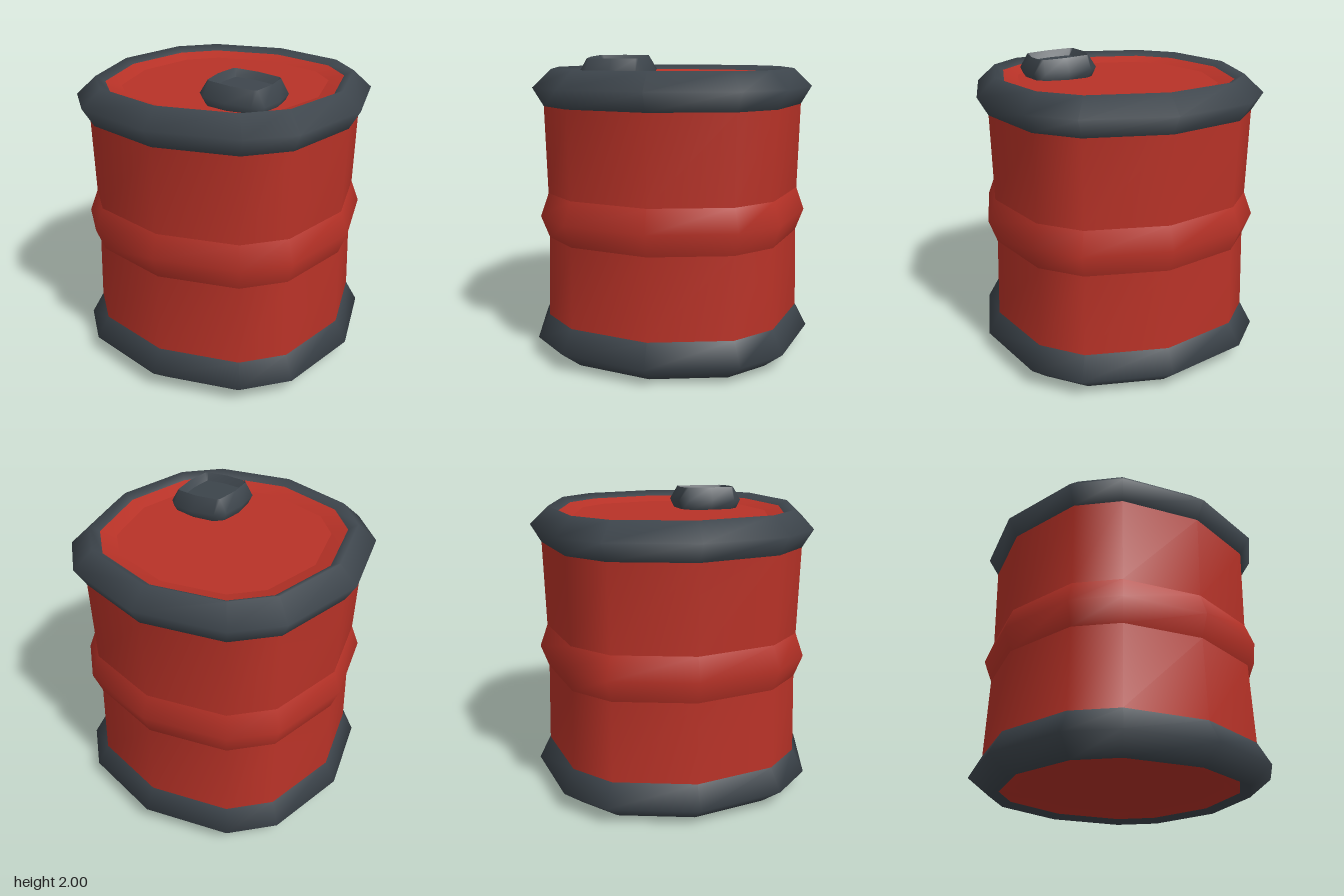
import * as THREE from 'three';

const red = new THREE.MeshStandardMaterial({ color: 0xb83227 });
red.name = 'red paint';
const charcoal = new THREE.MeshStandardMaterial({ color: 0x3d454c });
charcoal.name = 'charcoal rubber';

// Twelve-sided outline of unit half-width with clipped corners (a, b)
function outline(a, b) {
  const quarter = [[1, 0], [a, b], [b, a]];
  const points = [];
  for (let q = 0; q < 4; q++) {
    for (let [x, z] of quarter) {
      for (let k = 0; k < q; k++) [x, z] = [-z, x];
      points.push([x, z]);
    }
  }
  return points;
}

// Smooth skin through levels of [radius, y, corner a, corner b]
function loft(levels) {
  const positions = [], index = [], n = 12;
  for (const [r, y, a = 0.854, b = 0.596] of levels) {
    for (const [x, z] of outline(a, b)) positions.push(x * r, y, z * r);
  }
  for (let i = 0; i < levels.length - 1; i++) {
    for (let j = 0; j < n; j++) {
      const k = (j + 1) % n;
      const p = i * n + j, q = i * n + k;
      index.push(p, p + n, q, q, p + n, q + n);
    }
  }
  const geometry = new THREE.BufferGeometry();
  geometry.setAttribute('position', new THREE.Float32BufferAttribute(positions, 3));
  geometry.setIndex(index);
  geometry.computeVertexNormals();
  return geometry;
}

export function createModel() {
  const model = new THREE.Group();
  model.name = 'barrel';
  const add = (parent, name, material, levels) => {
    const mesh = new THREE.Mesh(loft(levels), material);
    mesh.name = name;
    parent.add(mesh);
    return mesh;
  };

  // Underside, recessed inside the bottom rim
  add(model, 'bottomDisc', red, [[0, 0.06], [0.66, 0.06]]);
  add(model, 'bottomBevel', red, [[0.66, 0.06], [0.76, 0.03]]);
  add(model, 'bottomRim', charcoal, [[0.76, 0.03], [0.82, 0], [0.96, 0.12], [0.88, 0.27]]);

  // Walls with the raised hoop between them
  add(model, 'lowerWall', red, [[0.88, 0.27], [0.862, 0.81]]);
  add(model, 'hoop', red, [[0.862, 0.81], [0.916, 0.96], [0.862, 1.11]]);
  add(model, 'upperWall', red, [[0.862, 1.11], [0.873, 1.68]]);

  // Lid, recessed inside the top rim
  add(model, 'topRim', charcoal, [[0.873, 1.68], [0.942, 1.8], [0.82, 1.915], [0.76, 1.88]]);
  add(model, 'lidBevel', red, [[0.76, 1.88], [0.66, 1.85]]);
  add(model, 'lidDisc', red, [[0.66, 1.85], [0, 1.85]]);

  // Slightly tilted filler cap with a hollow top
  const cap = new THREE.Group();
  cap.name = 'fillerCap';
  cap.position.set(0.303, 0, 0.303);
  model.add(cap);
  add(cap, 'capSide', charcoal, [
    [0.215, 1.835, 0.9, 0.66], [0.245, 1.9, 0.9, 0.66], [0.185, 1.99, 0.91, 0.82],
  ]);
  add(cap, 'capHollow', charcoal, [[0.185, 1.99, 0.91, 0.82], [0.15, 1.945, 0.91, 0.88]]);
  add(cap, 'capFloor', charcoal, [[0.15, 1.945, 0.91, 0.88], [0, 1.945]]);
  for (const mesh of cap.children) {
    const p = mesh.geometry.attributes.position;
    for (let i = 0; i < p.count; i++) p.setY(i, p.getY(i) - 0.055 * p.getX(i));
    mesh.geometry.computeVertexNormals();
  }
  return model;
}
